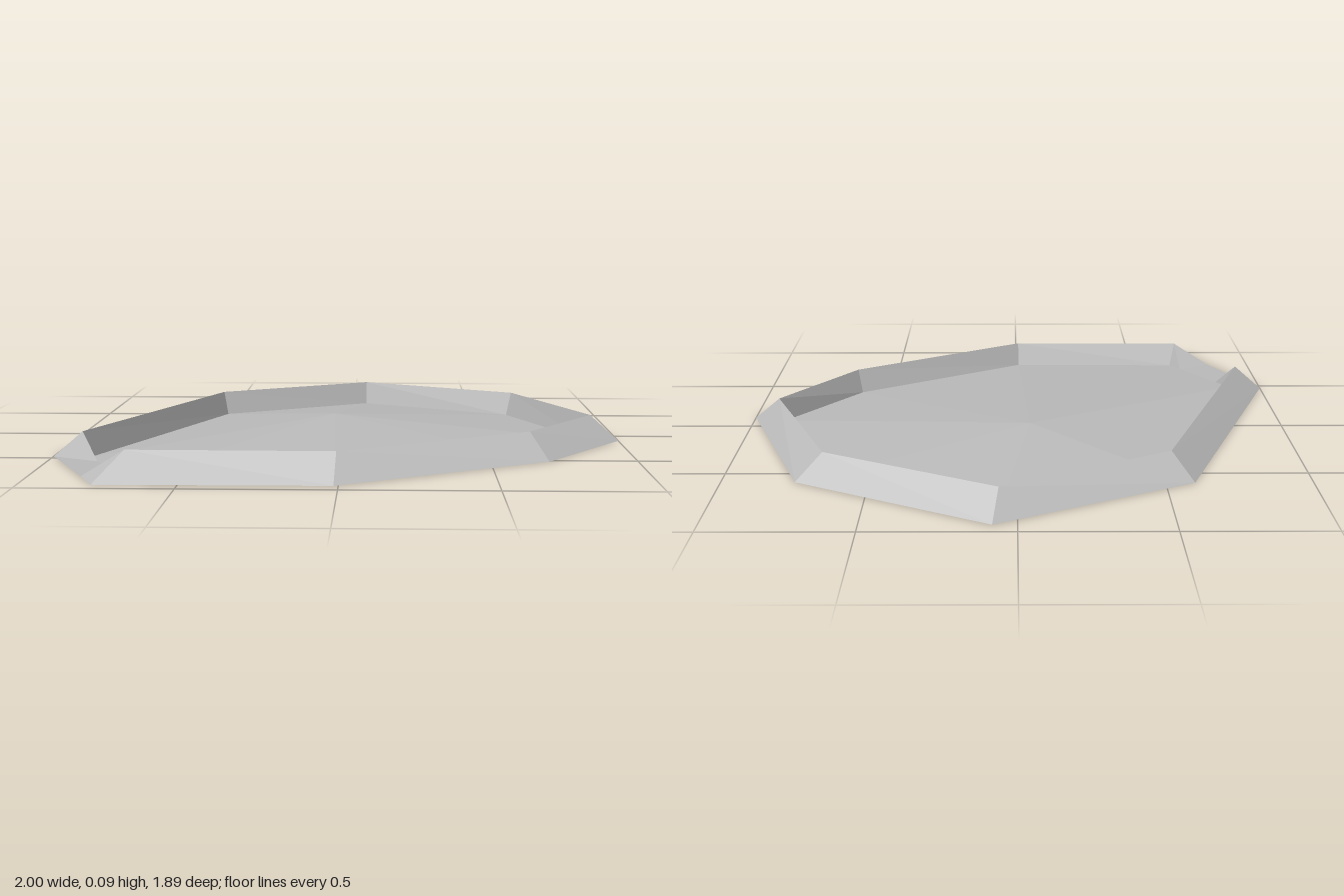
import * as THREE from 'three';

const H = 0.09; // rim height
const CENTRE = [-0.05, 0.06, -0.14];

// Rim stations [x, z], running from the left of the gap around to its right
const OUTER = [[-1, 0.47], [-0.6, -0.59], [0.08, -0.945], [0.75, -0.58], [1, 0.1], [0.7, 0.52], [-0.015, 0.94], [-0.77, 0.945]];
const RIDGE = [[-0.895, 0.48], [-0.525, -0.52], [0.06, -0.85], [0.66, -0.53], [0.9, 0.06], [0.64, 0.44], [-0.01, 0.835], [-0.685, 0.828]];
const INNER = [[-0.872, 0.485], [-0.508, -0.505], [0.06, -0.828], [0.64, -0.513], [0.88, 0.068], [0.623, 0.42], [-0.012, 0.81], [-0.665, 0.8]];

// Gap corners
const OUT_R = [-0.83, 0, 0.813];
const TIP_L = [-0.83, 0, 0.556];
const TIP_R = [-0.703, 0, 0.745];

const at = (list, y) => list.map(([x, z]) => [x, y, z]);

function meshFrom(name, triangles, material) {
  const geometry = new THREE.BufferGeometry();
  geometry.setAttribute('position', new THREE.Float32BufferAttribute(triangles.flat(2), 3));
  geometry.computeVertexNormals(); // unshared corners give flat facets
  const mesh = new THREE.Mesh(geometry, material);
  mesh.name = name;
  return mesh;
}

// Strip of quads between two open paths
function strip(a, b) {
  const out = [];
  for (let i = 0; i < a.length - 1; i++) {
    out.push([a[i], a[i + 1], b[i + 1]], [a[i], b[i + 1], b[i]]);
  }
  return out;
}

export function createModel() {
  const group = new THREE.Group();
  group.name = 'rimmedFloor';
  const stone = new THREE.MeshStandardMaterial({ color: 0xbcbcbc, side: THREE.DoubleSide });
  stone.name = 'stone grey';

  const outer = at(OUTER, 0), ridge = at(RIDGE, H), inner = at(INNER, 0);
  const last = ridge.length - 1;

  // Rim: sloped outside, steep inside, open underneath
  // Paths run clockwise from above, reversed here so faces point outward
  const flip = (tris) => tris.map(([a, b, c]) => [a, c, b]);
  group.add(meshFrom('rimOuterSlope', [
    ...flip(strip(outer, ridge)),
    [OUT_R, outer[last], ridge[last]],
  ], stone));
  group.add(meshFrom('rimInnerWall', flip(strip(ridge, inner)), stone));

  // Flared ends of the rim on both sides of the gap
  group.add(meshFrom('gapEndLeft', [
    [outer[0], TIP_L, ridge[0]],
    [TIP_L, inner[0], ridge[0]],
  ], stone));
  group.add(meshFrom('gapEndRight', [
    [OUT_R, ridge[last], TIP_R],
    [TIP_R, ridge[last], inner[last]],
  ], stone));

  // Slightly domed floor as a fan
  const edge = [...inner, TIP_R, TIP_L];
  group.add(meshFrom('floor', edge.map((p, i) => [CENTRE, edge[(i + 1) % edge.length], p]), stone));

  // Flat threshold through the gap
  group.add(meshFrom('threshold', [
    [TIP_L, outer[0], OUT_R],
    [TIP_L, OUT_R, TIP_R],
  ], stone));

  return group;
}
